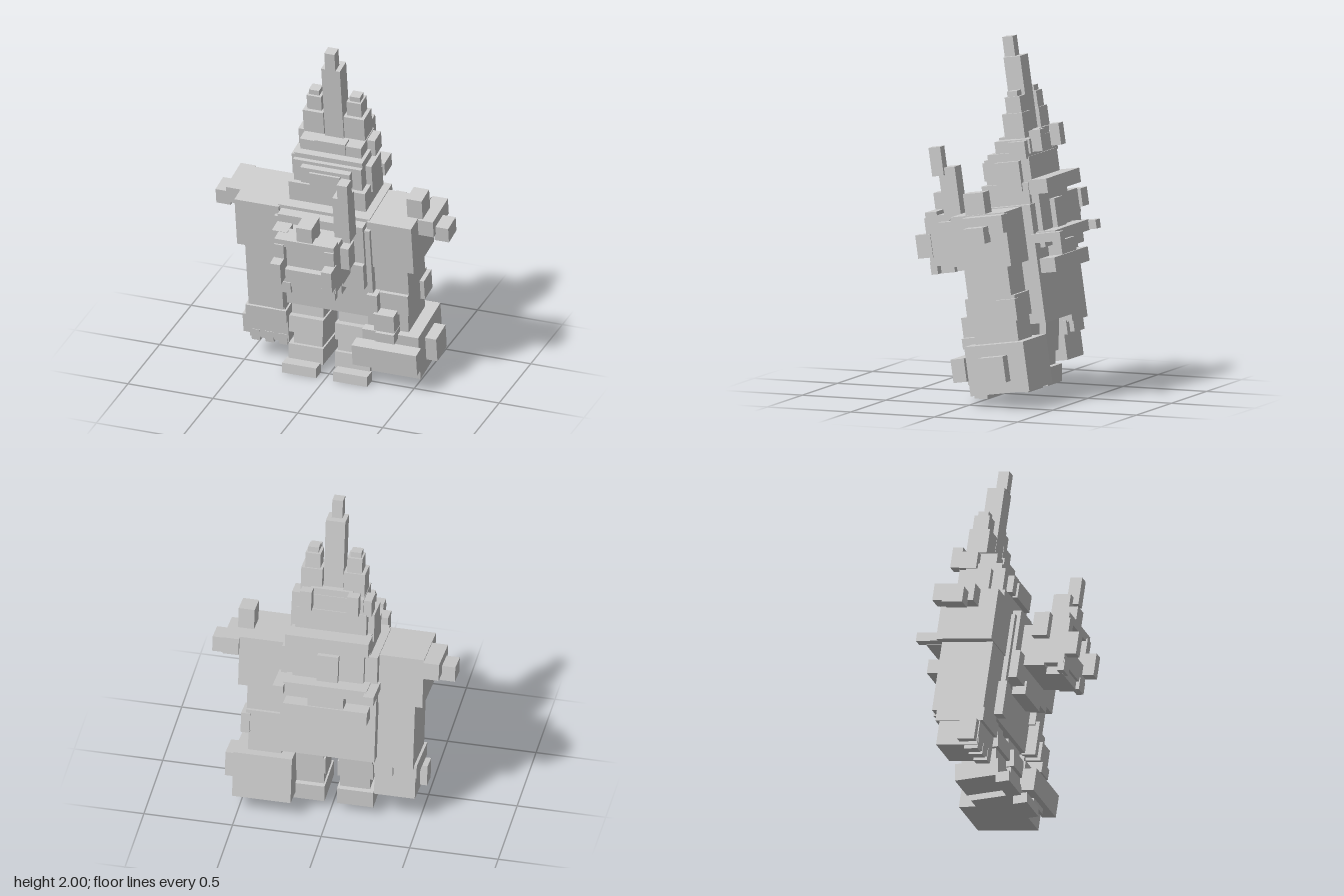
import * as THREE from 'three';

const TILT = 0.143; // whole figure leans forward

export function createModel() {
  const model = new THREE.Group();
  const stone = new THREE.MeshStandardMaterial({ color: 0xcccccc });
  stone.name = 'stone grey';

  // Box from its x span, centre (y, z), height and depth.
  function box(name, x0, x1, y, z, h, d, tilt = TILT) {
    const mesh = new THREE.Mesh(new THREE.BoxGeometry(x1 - x0, h, d), stone);
    mesh.position.set((x0 + x1) / 2, y, z);
    mesh.rotation.x = tilt;
    mesh.name = name;
    model.add(mesh);
  }
  const mid = (name, w, ...rest) => box(name, -w, w, ...rest);
  function pair(name, x0, x1, ...rest) {
    box(name + 'Left', x0, x1, ...rest);
    box(name + 'Right', -x1, -x0, ...rest);
  }

  // Feet and stacked legs
  pair('toe', 0.05, 0.25, 0.03, 0.035, 0.06, 0.08, 0);
  pair('footBlock', 0.035, 0.24, 0.1, -0.12, 0.1, 0.25, 0);
  pair('calf', 0.045, 0.215, 0.19, -0.115, 0.1, 0.2, 0);
  pair('knee', 0.035, 0.235, 0.275, -0.11, 0.1, 0.23, 0);
  pair('thigh', 0.045, 0.23, 0.38, -0.13, 0.15, 0.2, 0);

  // Torso and front plates
  mid('torso', 0.27, 0.75, -0.135, 0.66, 0.36);
  mid('chestPlate', 0.25, 0.84, 0.08, 0.38, 0.08);
  mid('bellyPlate', 0.25, 0.71, 0.08, 0.16, 0.1);
  mid('beltPlate', 0.12, 0.62, 0.09, 0.08, 0.08);
  pair('hipPlate', 0.25, 0.31, 0.485, 0.03, 0.2, 0.08);
  pair('sideTrim', 0.24, 0.28, 0.78, 0.06, 0.44, 0.06);

  // Back plates, ribs and spikes
  mid('backPlate', 0.2, 1.0, -0.25, 0.3, 0.12);
  mid('backRibTop', 0.235, 1.2, -0.3, 0.08, 0.11);
  mid('backRibMiddle', 0.235, 0.925, -0.35, 0.06, 0.12);
  mid('backRibLower', 0.237, 0.765, -0.36, 0.08, 0.09);
  mid('backStrap', 0.1, 0.84, -0.345, 0.08, 0.08);
  mid('spine', 0.06, 1.03, -0.31, 0.16, 0.05);
  pair('backSpike', 0.225, 0.285, 0.925, -0.36, 0.05, 0.19);

  // Shoulders
  pair('shoulder', 0.26, 0.52, 0.918, -0.077, 0.3, 0.325);
  pair('shoulderStep', 0.52, 0.61, 1.02, -0.125, 0.1, 0.24);
  pair('shoulderNub', 0.6, 0.685, 0.97, -0.105, 0.09, 0.12);
  box('shoulderCube', 0.46, 0.55, 1.13, -0.05, 0.12, 0.12);

  // Arms
  box('rightArm', -0.475, -0.26, 0.57, -0.12, 0.42, 0.3);
  box('leftUpperArm', 0.26, 0.475, 0.68, -0.1, 0.22, 0.26);
  box('leftElbow', 0.26, 0.475, 0.54, -0.12, 0.13, 0.3);
  box('leftForearm', 0.27, 0.46, 0.42, -0.14, 0.16, 0.26);
  box('elbowPlate', 0.45, 0.5, 0.54, -0.22, 0.12, 0.12);
  box('cuffPlate', 0.29, 0.41, 0.42, 0.035, 0.11, 0.09);
  box('cuffRidge', 0.3, 0.41, 0.33, 0.03, 0.06, 0.1);

  // Large left fist
  box('fist', 0.2, 0.53, 0.215, -0.177, 0.275, 0.355);
  box('knuckles', 0.165, 0.545, 0.195, 0.045, 0.13, 0.08);
  box('fistSidePlate', 0.53, 0.595, 0.215, -0.175, 0.145, 0.15);
  box('thumb', 0.28, 0.43, 0.13, 0.01, 0.05, 0.06);

  // Open right hand
  box('wrist', -0.49, -0.25, 0.33, -0.13, 0.08, 0.28);
  box('hand', -0.48, -0.25, 0.25, -0.14, 0.2, 0.24);
  box('handThumb', -0.52, -0.47, 0.22, -0.08, 0.12, 0.1);
  for (let i = 0; i < 3; i++) {
    box('finger', -0.47 + i * 0.08, -0.42 + i * 0.08, 0.155, -0.07, 0.07, 0.08);
  }
  box('armBackPlate', -0.36, -0.29, 0.42, -0.27, 0.2, 0.03);

  // Head and brow tiers
  mid('collar', 0.225, 1.1, -0.11, 0.2, 0.28);
  mid('head', 0.2, 1.24, -0.11, 0.2, 0.27);
  mid('browSlab', 0.2, 1.335, -0.105, 0.07, 0.24);
  mid('crown', 0.18, 1.4, -0.125, 0.08, 0.21);
  mid('brow', 0.145, 1.25, 0.035, 0.1, 0.06);
  mid('browGem', 0.09, 1.23, 0.06, 0.09, 0.03);
  mid('crownFront', 0.09, 1.405, -0.04, 0.07, 0.06);
  pair('templePlate', 0.16, 0.235, 1.24, -0.12, 0.17, 0.15);
  pair('templeHorn', 0.16, 0.225, 1.39, -0.17, 0.1, 0.1);

  // Horns
  mid('hornBase', 0.12, 1.44, -0.17, 0.09, 0.1);
  mid('horn', 0.055, 1.66, -0.1, 0.46, 0.1);
  mid('hornTip', 0.03, 1.94, -0.038, 0.11, 0.063);
  pair('sideHornBase', 0.06, 0.18, 1.52, -0.13, 0.14, 0.12);
  pair('sideHorn', 0.075, 0.16, 1.63, -0.12, 0.1, 0.09);
  pair('sideHornTip', 0.09, 0.15, 1.69, -0.11, 0.04, 0.06);
  pair('rearHorn', 0.1, 0.165, 1.445, -0.26, 0.12, 0.06);

  // Mask carried in front of the chest, with a raised frame
  mid('maskBack', 0.175, 0.84, 0.19, 0.24, 0.16);
  mid('mask', 0.175, 0.9, 0.3, 0.2, 0.11);
  pair('maskCheek', 0.12, 0.175, 0.89, 0.367, 0.18, 0.055);
  mid('maskTop', 0.175, 0.99, 0.365, 0.045, 0.07);
  mid('maskCrest', 0.045, 1.055, 0.335, 0.11, 0.13);
  mid('maskJaw', 0.175, 0.78, 0.25, 0.11, 0.25);
  mid('maskChin', 0.12, 0.71, 0.3, 0.08, 0.1);
  pair('tusk', 0.12, 0.18, 0.82, 0.405, 0.13, 0.09);
  pair('lowerTusk', 0.09, 0.17, 0.7, 0.35, 0.07, 0.04);
  box('maskEarRight', -0.225, -0.135, 0.94, 0.25, 0.14, 0.09);
  box('maskEarLeft', 0.135, 0.225, 0.9, 0.25, 0.14, 0.09);

  // Raised post beside the mask
  box('post', 0.13, 0.22, 1.13, 0.235, 0.29, 0.1);
  box('postTip', 0.175, 0.235, 1.305, 0.31, 0.16, 0.07);

  return model;
}
